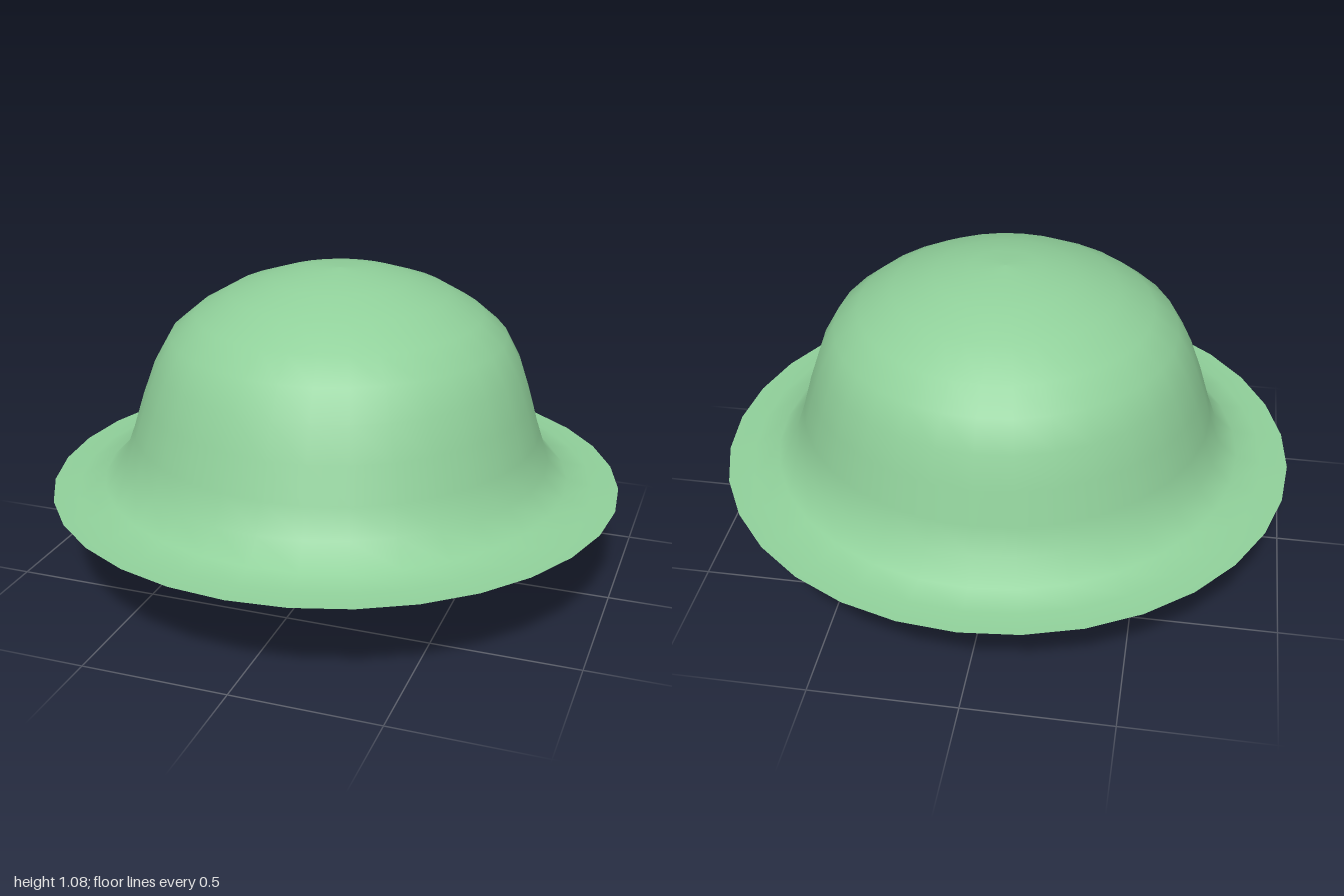
import * as THREE from 'three';

const BRIM_Y = 0.327;
const SIDES = 32;

export function createModel() {
  const model = new THREE.Group();
  const green = new THREE.MeshStandardMaterial({ name: 'leaf green', color: 0x90d09a });
  const cream = new THREE.MeshStandardMaterial({ name: 'pale cream', color: 0xd3d9a6 });

  const add = (name, geometry, material) => {
    const mesh = new THREE.Mesh(geometry, material);
    mesh.name = name;
    model.add(mesh);
    return mesh;
  };

  // Domed cap flaring into a flat brim, from the rim up to the crown
  const profile = [
    [1, BRIM_Y], [0.91, 0.329], [0.82, 0.35], [0.75, 0.42], [0.715, 0.52],
    [0.68, 0.64], [0.64, 0.755], [0.585, 0.855], [0.5, 0.927],
    [0.38, 0.997], [0.24, 1.045], [0.12, 1.07], [0, 1.078],
  ].map(([r, y]) => new THREE.Vector2(r, y));
  const dome = new THREE.LatheGeometry(profile, SIDES);

  // The crown leans slightly towards the back
  const lean = -0.06;
  dome.applyMatrix4(new THREE.Matrix4().set(
    1, 0, 0, 0,
    0, 1, 0, 0,
    0, lean, 1, -lean * BRIM_Y,
    0, 0, 0, 1,
  ));
  add('domedCap', dome, green);

  // Flat underside of the brim
  const underside = new THREE.CircleGeometry(1, SIDES);
  underside.rotateX(Math.PI / 2);
  underside.translate(0, BRIM_Y, 0);
  add('brimUnderside', underside, green);

  // Rounded bulb below, the lower half of an ellipsoid
  const bulb = new THREE.SphereGeometry(1, 24, 10, 0, Math.PI * 2, Math.PI / 2, Math.PI / 2);
  bulb.scale(0.4, BRIM_Y, 0.337);
  bulb.translate(0, BRIM_Y, -0.037);
  add('bulb', bulb, cream);

  return model;
}
